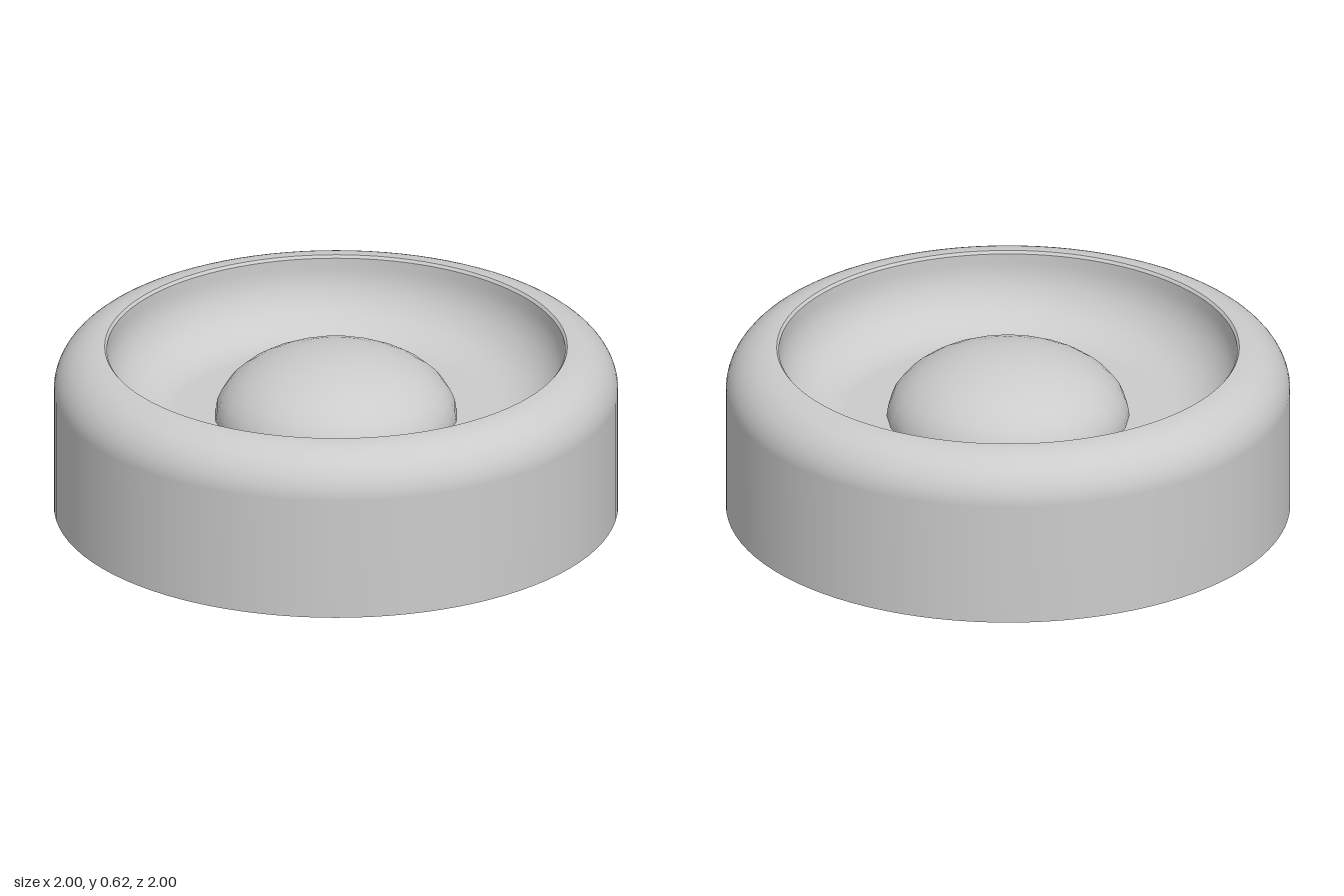
import * as THREE from 'three';

const material = new THREE.MeshStandardMaterial({ color: 0xcccccc });
const SEGMENTS = 96;

// Quarter ellipse as profile points, from angle a0 to a1
function arc(cx, cy, rx, ry, a0, a1, steps = 14) {
  return Array.from({ length: steps + 1 }, (_, i) => {
    const a = a0 + ((a1 - a0) * i) / steps;
    return new THREE.Vector2(cx + rx * Math.cos(a), cy + ry * Math.sin(a));
  });
}

function addMesh(group, name, geometry) {
  const mesh = new THREE.Mesh(geometry, material);
  mesh.name = name;
  group.add(mesh);
  return mesh;
}

export function createModel() {
  const group = new THREE.Group();
  group.name = 'roundDish';
  const V = (x, y) => new THREE.Vector2(x, y);

  // Straight outer wall rolling over into the rounded rim
  const outer = [V(1, 0), ...arc(0.82, 0.45, 0.18, 0.165, 0, Math.PI / 2)];
  addMesh(group, 'outerWall', new THREE.LatheGeometry(outer, SEGMENTS));

  // Narrow lip bevel on the inside of the rim
  const lip = [V(0.82, 0.615), V(0.812, 0.605)];
  addMesh(group, 'innerLip', new THREE.LatheGeometry(lip, SEGMENTS));

  // Inner wall sweeping down through a wide fillet to the flat floor
  const bowl = [
    V(0.812, 0.605),
    ...arc(0.58, 0.57, 0.232, 0.22, 0, -Math.PI / 2),
    V(0.4, 0.35), V(0, 0.35),
  ];
  addMesh(group, 'bowl', new THREE.LatheGeometry(bowl, SEGMENTS));

  // Flattened dome standing in the middle of the bowl
  const dome = addMesh(group, 'centreDome',
    new THREE.SphereGeometry(0.43, 24, 10, 0, Math.PI * 2, 0, Math.PI / 2));
  dome.scale.y = 0.57;
  dome.rotation.y = Math.PI / 24;
  dome.position.y = 0.35;

  // Flat underside
  const base = addMesh(group, 'base', new THREE.CircleGeometry(1, SEGMENTS));
  base.rotation.x = Math.PI / 2;

  return group;
}
